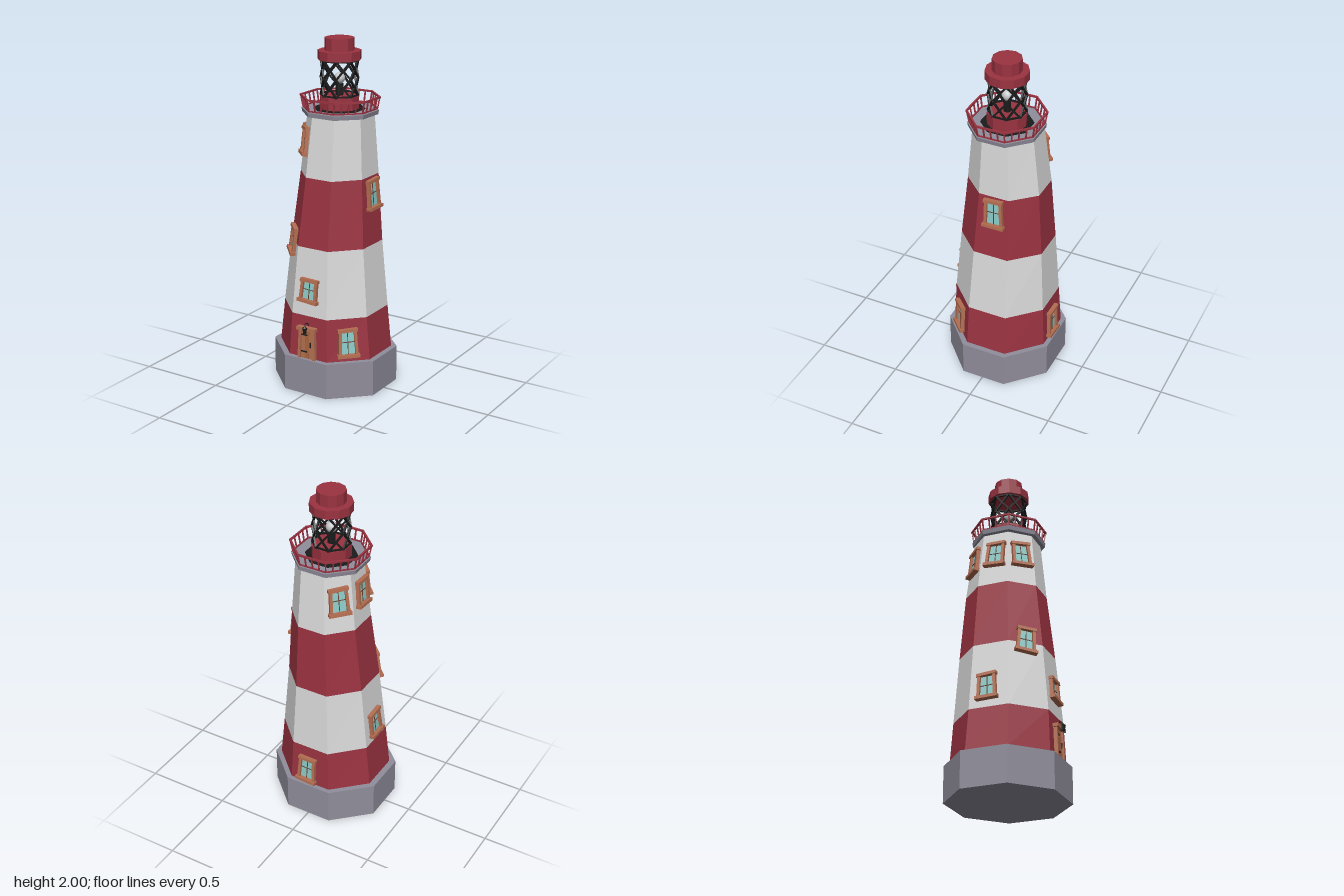
import * as THREE from 'three';

const mat = (name, color) => Object.assign(new THREE.MeshStandardMaterial({ color }), { name });

export function createModel() {
  const red = mat('red paint', 0x9b3341), white = mat('white paint', 0xdadada);
  const stone = mat('grey stone', 0x918e9c), wood = mat('orange wood', 0xb56f52);
  const plankWood = mat('door wood', 0xa9673f), glass = mat('window glass', 0x8ccbc8);
  const iron = mat('black iron', 0x1b1b1b), lampGlass = mat('lamp glass', 0xc4c6c8);
  const darkWood = mat('dark wood', 0x6b4030);

  const root = new THREE.Group();
  root.name = 'lighthouse';

  const flat = (g) => {
    const f = g.index ? g.toNonIndexed() : g;
    f.computeVertexNormals();
    return f;
  };
  const add = (parent, name, geo, material, x = 0, y = 0, z = 0) => {
    const m = new THREE.Mesh(geo, material);
    m.name = name;
    m.position.set(x, y, z);
    parent.add(m);
    return m;
  };
  const box = (parent, name, material, w, h, d, x, y, z, roll = 0) => {
    const m = add(parent, name, new THREE.BoxGeometry(w, h, d), material, x, y, z);
    m.rotation.z = roll;
    return m;
  };
  // Straight square bar between two points
  const bar = (parent, name, material, a, b, t) => {
    const m = add(parent, name, new THREE.BoxGeometry(t, t, a.distanceTo(b) + t * 0.5), material);
    m.position.copy(a).add(b).multiplyScalar(0.5);
    m.lookAt(b);
    return m;
  };

  // Octagonal cross-section: height, centre and half widths
  const ring = (y, cx, cz, ax, az) => ({ y, cx, cz, ax, az });
  const corner = (r, k) => {
    const a = (k + 0.5) * Math.PI / 4, s = 1 / Math.cos(Math.PI / 8);
    return new THREE.Vector3(r.cx + r.ax * s * Math.sin(a), r.y, r.cz + r.az * s * Math.cos(a));
  };
  const octagon = (name, lo, hi, material) => {
    const p = [];
    const tri = (...v) => v.forEach((c) => p.push(c.x, c.y, c.z));
    const bottom = new THREE.Vector3(lo.cx, lo.y, lo.cz), top = new THREE.Vector3(hi.cx, hi.y, hi.cz);
    for (let k = 0; k < 8; k++) {
      const a = corner(lo, k), b = corner(lo, k + 1), c = corner(hi, k + 1), d = corner(hi, k);
      tri(a, b, c);
      tri(a, c, d);
      tri(bottom, b, a);
      tri(top, d, c);
    }
    const g = new THREE.BufferGeometry();
    g.setAttribute('position', new THREE.Float32BufferAttribute(p, 3));
    g.computeVertexNormals();
    return add(root, name, g, material);
  };

  // Stone base and leaning striped tower
  octagon('base', ring(0, 0, -0.007, 0.337, 0.32), ring(0.21, 0, -0.007, 0.337, 0.32), stone);
  const levels = [
    ring(0.21, 0.002, -0.008, 0.304, 0.292),
    ring(0.46, 0.004, -0.007, 0.278, 0.28),
    ring(0.85, 0.006, -0.014, 0.239, 0.251),
    ring(1.24, 0.016, -0.025, 0.202, 0.217),
    ring(1.58, 0.026, -0.023, 0.173, 0.182),
  ];
  for (let i = 0; i < 4; i++) octagon('towerBand', levels[i], levels[i + 1], i % 2 ? white : red);

  // Point on the middle of a tower face at a given height
  const level = (y) => {
    let i = 0;
    while (i < 3 && y > levels[i + 1].y) i++;
    const a = levels[i], b = levels[i + 1], t = (y - a.y) / (b.y - a.y);
    const mix = (key) => a[key] + (b[key] - a[key]) * t;
    return ring(y, mix('cx'), mix('cz'), mix('ax'), mix('az'));
  };
  const facePoint = (y, phi) => {
    const r = level(y);
    return new THREE.Vector3(r.cx + r.ax * Math.sin(phi), y, r.cz + r.az * Math.cos(phi));
  };
  // Group lying on a face, with its z axis pointing out of the wall
  const onFace = (name, face, y, shift, roll) => {
    const phi = face * Math.PI / 4, r = level(y);
    const t = new THREE.Vector3(r.ax * Math.cos(phi), 0, -r.az * Math.sin(phi)).normalize();
    const u = facePoint(y + 0.05, phi).sub(facePoint(y - 0.05, phi)).normalize();
    const n = t.clone().cross(u).normalize();
    const g = new THREE.Group();
    g.name = name;
    g.quaternion.setFromRotationMatrix(new THREE.Matrix4().makeBasis(t, n.clone().cross(t), n));
    g.position.copy(facePoint(y, phi)).addScaledVector(t, shift);
    g.rotateZ(roll);
    root.add(g);
    return g;
  };

  // Crooked wooden windows: face (0 front, 2 left, 4 back, 6 right), height, shift, roll, frame height
  const windows = [
    [0, 0.61, -0.005, -0.05, 0.12], [1, 0.32, 0, 0.03, 0.15], [2, 1.14, 0.008, 0.03, 0.155],
    [4, 0.31, -0.015, -0.05, 0.15], [6, 0.58, -0.01, 0.05, 0.14], [7, 0.86, 0, -0.08, 0.14],
    [7, 1.43, 0, 0.05, 0.14], [6, 1.43, 0.01, -0.05, 0.14], [5, 1.43, 0, 0.05, 0.145],
  ];
  for (const [face, y, shift, roll, h] of windows) {
    const g = onFace('window', face, y, shift, roll);
    box(g, 'windowGlass', glass, 0.085, h - 0.02, 0.008, 0, 0, 0.003);
    box(g, 'windowMullion', darkWood, 0.004, h - 0.02, 0.004, 0, 0, 0.008);
    box(g, 'windowCrossbar', darkWood, 0.085, 0.004, 0.004, 0, 0.005, 0.008);
    for (const s of [-1, 1]) box(g, 'windowJamb', wood, 0.017, h, 0.03, s * 0.046, 0, 0.006, s * 0.04);
    box(g, 'windowLintel', wood, 0.115, 0.018, 0.036, 0, h / 2, 0.008, 0.03);
    box(g, 'windowSill', wood, 0.13, 0.018, 0.046, 0, -h / 2, 0.008, -0.02);
  }

  // Plank door with iron straps
  const door = onFace('door', 0, 0.3, -0.003, 0);
  for (let i = -1; i <= 1; i++) box(door, 'doorPlank', i ? wood : plankWood, 0.025, 0.17, 0.012, i * 0.026, -0.005, 0.005);
  for (const s of [-1, 1]) box(door, 'doorJamb', wood, 0.016, 0.18, 0.03, s * 0.047, -0.002, 0.006, s * 0.03);
  box(door, 'doorLintel', wood, 0.125, 0.02, 0.045, 0, 0.09, 0.01, 0.02);
  for (const y of [-0.05, 0.05]) box(door, 'doorStrap', iron, 0.04, 0.007, 0.006, -0.018, y, 0.013);
  box(door, 'doorHandle', iron, 0.006, 0.03, 0.01, 0.024, -0.005, 0.014);

  // Wall lamp hung above the door
  const hook = new THREE.CatmullRomCurve3([[0.39, 0.265], [0.42, 0.285], [0.425, 0.305], [0.405, 0.315]]
    .map(([y, z]) => new THREE.Vector3(0, y, z)));
  add(root, 'lampHook', new THREE.TubeGeometry(hook, 10, 0.003, 5), iron);
  add(root, 'lampBody', flat(new THREE.CylinderGeometry(0.013, 0.009, 0.032, 6)), iron, 0, 0.386, 0.315);
  add(root, 'lampCap', flat(new THREE.ConeGeometry(0.015, 0.012, 6)), iron, 0, 0.408, 0.315);

  // Gallery deck with a dark plate around the lantern
  const cx = 0.022, cz = -0.013;
  octagon('galleryDeck', ring(1.58, 0.026, cz, 0.198, 0.195), ring(1.605, 0.026, cz, 0.203, 0.198), stone);
  octagon('deckPlate', ring(1.604, cx, cz, 0.135, 0.135), ring(1.609, cx, cz, 0.135, 0.135), iron);

  // Railing flaring slightly outwards
  const foot = ring(1.612, 0.026, cz, 0.194, 0.19), head = ring(1.675, 0.026, cz, 0.206, 0.2);
  for (let k = 0; k < 8; k++) {
    const a = corner(foot, k), b = corner(foot, k + 1), c = corner(head, k), d = corner(head, k + 1);
    bar(root, 'bottomRail', red, a, b, 0.007);
    bar(root, 'topRail', red, c, d, 0.01);
    for (let i = 0; i < 4; i++) bar(root, 'baluster', red, a.clone().lerp(b, i / 4), c.clone().lerp(d, i / 4), 0.007);
  }

  // Lantern room: pedestal, lamp, lattice and stepped roof
  const drum = (name, r, lo, hi, sides, material) =>
    add(root, name, flat(new THREE.CylinderGeometry(r, r, hi - lo, sides)), material, cx, (lo + hi) / 2, cz);
  drum('lanternPedestal', 0.112, 1.6, 1.68, 10, red);
  drum('lampStand', 0.022, 1.68, 1.745, 8, iron);
  add(root, 'beacon', new THREE.SphereGeometry(0.032, 12, 8), lampGlass, cx, 1.775, cz);
  const node = (k, row) => corner(ring(1.68 + row * 0.1, cx, cz, 0.097, 0.097), k);
  for (let k = 0; k < 8; k++) {
    for (let row = 0; row < 2; row++) {
      bar(root, 'latticeBar', iron, node(k, row), node(k + 1, row + 1), 0.01);
      bar(root, 'latticeBar', iron, node(k + 1, row), node(k, row + 1), 0.01);
    }
    for (const row of [0.03, 1.97]) bar(root, 'latticeRing', iron, node(k, row), node(k + 1, row), 0.01);
  }
  drum('roofBrim', 0.121, 1.88, 1.93, 11, red);
  drum('roofCap', 0.082, 1.93, 2.0, 11, red);

  return root;
}
